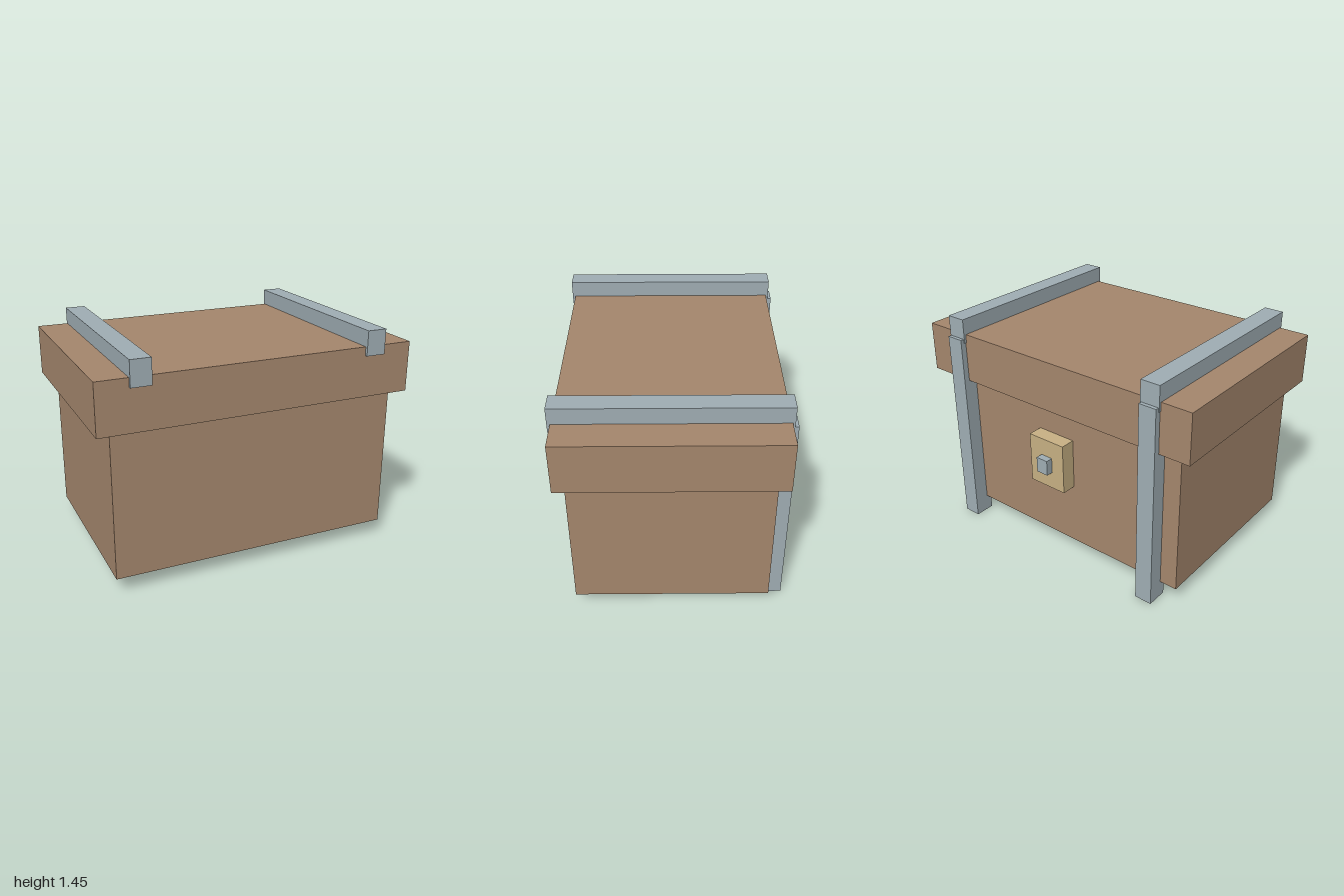
import * as THREE from 'three';

export function createModel() {
  const group = new THREE.Group();
  const mat = (name, color) => {
    const m = new THREE.MeshStandardMaterial({ color });
    m.name = name;
    return m;
  };
  const wood = mat('brown wood', 0xa5876d);
  const steel = mat('grey steel', 0xa0aeb4);
  const brass = mat('pale brass', 0xc8b184);

  // Box given by its extents on each axis
  const box = (name, material, [x0, x1], [y0, y1], [z0, z1]) => {
    const mesh = new THREE.Mesh(new THREE.BoxGeometry(x1 - x0, y1 - y0, z1 - z0), material);
    mesh.position.set((x0 + x1) / 2, (y0 + y1) / 2, (z0 + z1) / 2);
    mesh.name = name;
    group.add(mesh);
  };

  // Chest
  box('body', wood, [-0.912, 0.912], [0.107, 1.03], [-0.565, 0.631]);
  box('lid', wood, [-1, 1], [1.027, 1.345], [-0.624, 0.688]);

  // Straps over the lid and down the back, ending in feet
  for (const [side, s] of [['left', 1], ['right', -1]]) {
    const span = (a, b) => (s > 0 ? [a, b] : [-b, -a]);
    box(side + 'LidStrap', steel, span(0.68, 0.805), [1.29, 1.447], [-0.639, 0.706]);
    box(side + 'BackStrap', steel, span(0.687, 0.8), [0, 1.316], [-0.662, -0.528]);
  }

  // Lock on the back
  box('lockPlate', brass, [-0.132, 0.132], [0.517, 0.845], [-0.66, -0.54]);
  box('lockStud', steel, [-0.041, 0.041], [0.631, 0.731], [-0.705, -0.64]);

  return group;
}
